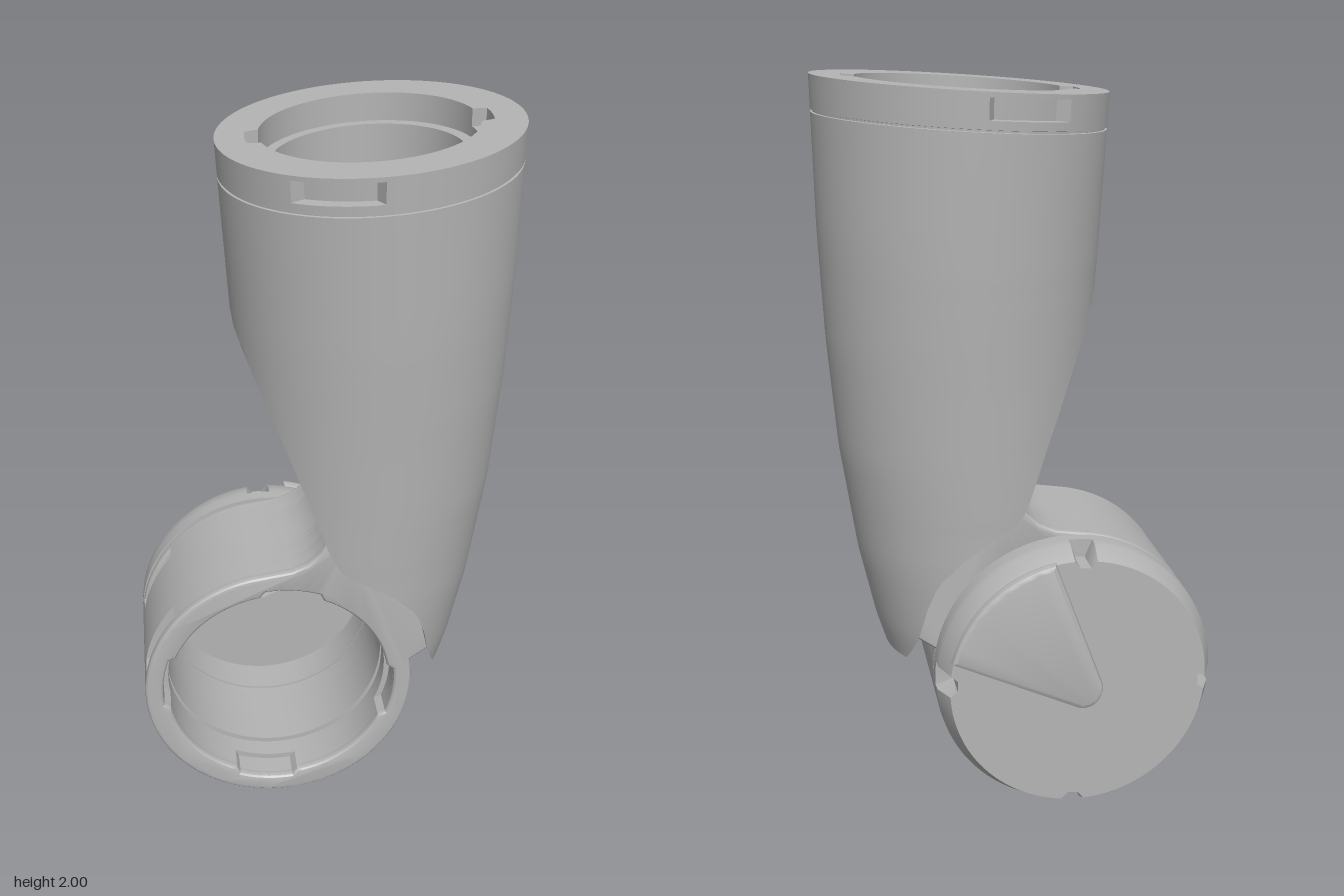
import * as THREE from 'three';
import { toCreasedNormals } from 'three/addons/utils/BufferGeometryUtils.js';

const rad = THREE.MathUtils.degToRad;
const grey = new THREE.MeshStandardMaterial({ color: 0xb4b4b4 });
grey.name = 'plain grey';

const CX = -0.14, CY = 0.39; // axis of the elbow joint

function part(name, geometry) {
  const mesh = new THREE.Mesh(toCreasedNormals(geometry, 0.5), grey);
  mesh.name = name;
  return mesh;
}

// Linear lookup in a short [y, value] table
function lookup(table, y) {
  if (y <= table[0][0]) return table[0][1];
  for (let i = 1; i < table.length; i++) {
    const [y0, v0] = table[i - 1], [y1, v1] = table[i];
    if (y <= y1) return v0 + (v1 - v0) * (y - y0) / (y1 - y0);
  }
  return table[table.length - 1][1];
}

// Closed rings joined in order; point(row, u) with u from -1 to 1
function loft(rows, n, point) {
  const pos = [], idx = [];
  for (const row of rows) for (let j = 0; j <= n; j++) pos.push(...point(row, -1 + 2 * j / n));
  for (let i = 0; i < rows.length - 1; i++) {
    for (let j = 0; j < n; j++) {
      const a = i * (n + 1) + j, b = a + n + 1;
      idx.push(a, b, a + 1, b, b + 1, a + 1);
    }
  }
  const g = new THREE.BufferGeometry();
  g.setAttribute('position', new THREE.Float32BufferAttribute(pos, 3));
  g.setIndex(idx);
  return g;
}

// Arm profile: right edge, left edge, half depth, and the scooped cut on the elbow side
const RIGHT = [[0.42, 0.36], [0.5, 0.385], [0.7, 0.43], [1, 0.475], [1.3, 0.5], [1.6, 0.514], [2, 0.521]];
const LEFT = [[0.42, -0.16], [0.88, -0.2], [1.48, -0.237], [2, -0.266]];
const DEPTH = [[0.42, 0.3], [0.75, 0.323], [1.2, 0.35], [1.5, 0.37], [1.9, 0.39], [2, 0.395]];
const CUT = [[0.42, 0.315], [0.5, 0.287], [0.6, 0.265], [0.68, 0.237], [0.76, 0.165], [0.8, 0.1],
  [0.84, 0.03], [0.88, 0], [1.05, -0.06], [1.28, -0.15], [1.48, -0.237], [1.5, -0.5]];

function outer(y, kind = '', inset = 0) {
  const r = lookup(RIGHT, y), l = lookup(LEFT, y);
  return { y, c: (r + l) / 2, rx: (r - l) / 2 - inset, rz: lookup(DEPTH, y) - inset, cut: lookup(CUT, y), kind };
}
function inner(y, r, kind = '') {
  return { y, c: 0.125, rx: r, rz: r, cut: lookup(CUT, y) + 0.09, kind };
}

function armPoint({ y, c, rx, rz, cut, kind }, u) {
  // the flat cut gets its own share of the ring so its edge stays crisp
  const limit = rx > 0 ? Math.acos(THREE.MathUtils.clamp((cut - c) / rx, -1, 1)) : Math.PI;
  let a = THREE.MathUtils.clamp(u / 0.8, -1, 1) * limit, k = 1;
  const side = Math.abs(a);
  if (kind === 'slot' && side > rad(95) && side < rad(126)) k = 0.92;
  if (kind === 'bayonet' && (side < 0.15 || side > Math.PI - 0.15)) k = 1.12;
  if (kind === 'rect') k = 1 / Math.max(Math.abs(Math.cos(a)), Math.abs(Math.sin(a)));
  const x = c + k * rx * Math.cos(a);
  let z = k * rz * Math.sin(a);
  if (Math.abs(u) > 0.8) z *= (1 - Math.abs(u)) / 0.2;
  return [x, y + 0.064 * (x - 0.127) * THREE.MathUtils.smoothstep(y, 1.45, 1.85), z];
}

function makeArm() {
  const rows = [{ y: 0.415, c: 0.337, rx: 0, rz: 0, cut: -1 }, outer(0.42)];
  for (let y = 0.45; y < 1.86; y += 0.03) rows.push(outer(y));
  // seam groove, then the side slots, then the rim
  rows.push(outer(1.878), outer(1.879, '', 0.006), outer(1.884, '', 0.006), outer(1.885));
  rows.push(outer(1.907), outer(1.908, 'slot'), outer(1.962, 'slot'), outer(1.963), outer(1.975));
  // bore with ledge, sloping inner wall and floor pocket
  rows.push(inner(1.975, 0.28, 'bayonet'), inner(1.93, 0.28, 'bayonet'), inner(1.929, 0.28), inner(1.9, 0.28));
  rows.push(inner(1.9, 0.25));
  for (const y of [1.7, 1.5, 1.43, 1.36, 1.28, 1.15, 1.05]) rows.push(inner(y, 0.25));
  const pocket = { c: 0.167, rx: 0.103, rz: 0.16, cut: -1, kind: 'rect' };
  rows.push({ ...pocket, y: 1.05 }, { ...pocket, y: 0.91 }, { ...pocket, y: 0.91, rx: 0, rz: 0 });
  return part('upperArm', loft(rows, 160, armPoint));
}

// Elbow outline: round housing, optional grip notches, and a neck into the arm
function elbowShape(notched, holeR, bayonet) {
  const pts = [];
  for (let d = 97; d <= 370; d += 3) {
    const inNotch = notched && ((d > 141 && d < 167) || (d > 286 && d < 312));
    const r = inNotch ? 0.34 : 0.385;
    pts.push(new THREE.Vector2(CX + r * Math.cos(rad(d)), CY + r * Math.sin(rad(d))));
  }
  for (const [x, y] of [[0.3, 0.5], [0.32, 0.62], [0.25, 0.8], [0.06, 0.89], [0, 0.875],
    [-0.02, 0.838], [-0.055, 0.805], [-0.1, 0.785]]) pts.push(new THREE.Vector2(x, y));
  const shape = new THREE.Shape(pts);
  const hole = [];
  for (let d = 0; d < 360; d += 3) {
    const wide = bayonet && (d + 8 + 15) % 90 < 30;
    const r = wide ? 0.334 : holeR;
    hole.push(new THREE.Vector2(CX + r * Math.cos(rad(d)), CY + r * Math.sin(rad(d))));
  }
  shape.holes.push(new THREE.Path(hole));
  return shape;
}

function makeElbow() {
  const group = new THREE.Group();
  group.name = 'elbowHousing';
  // slices along z: [from, to, notched, hole radius, bayonet]
  const slices = [[-0.19, -0.13, true, 0.318, false], [-0.13, 0.05, false, 0.318, false],
    [0.05, 0.07, false, 0.332, false], [0.07, 0.125, false, 0.318, false], [0.125, 0.185, true, 0.318, true]];
  for (const [z0, z1, notched, r, bayonet] of slices) {
    const g = new THREE.ExtrudeGeometry(elbowShape(notched, r, bayonet), { depth: z1 - z0, bevelEnabled: false });
    g.translate(0, 0, z0);
    group.add(part('housingSlice', g));
  }
  // rounded end rims
  for (const s of [-1, 1]) {
    const b = 0.012;
    const g = new THREE.ExtrudeGeometry(elbowShape(false, 0.318, s > 0), {
      depth: 0.012, bevelThickness: b, bevelSize: b, bevelOffset: -b, bevelSegments: 3 });
    g.translate(0, 0, s > 0 ? 0.186 : -0.198);
    group.add(part('housingRim', g));
  }
  return group;
}

// Teardrop pad: wide at the disc edge, rounded near the axis
function padPoints(edge, tip, from, to) {
  const pts = [];
  for (let i = 0; i <= 16; i++) {
    const a = rad(from + (to - from) * i / 16);
    pts.push(new THREE.Vector2(CX + edge * Math.cos(a), CY + edge * Math.sin(a)));
  }
  for (let i = 0; i <= 10; i++) {
    const a = rad(165 + 123 * i / 10);
    pts.push(new THREE.Vector2(-0.15 + tip * Math.cos(a), 0.375 + tip * Math.sin(a)));
  }
  return pts;
}

function makeCap() {
  const group = new THREE.Group();
  group.name = 'elbowCap';
  // chamfered ring with small edge notches
  const rows = [[0.318, -0.315], [0.318, -0.205], [0.372, -0.205], [0.372, -0.218], [0.385, -0.218],
    [0.385, -0.255], [0.385, -0.256, 1], [0.383, -0.285, 1], [0.355, -0.345, 1], [0.33, -0.345]];
  const ring = loft(rows, 144, ([r, z, notch], u) => {
    const a = u * Math.PI, d = a * 180 / Math.PI;
    const cutIn = notch && [93, 3, -87, -177].some((m) => Math.abs(d - m) < 3.5);
    const k = cutIn ? 0.335 : r;
    return [CX + k * Math.cos(a), CY + k * Math.sin(a), z];
  });
  group.add(part('capRing', ring));

  // end plate with the pad recess open on the inside
  const plate = new THREE.Shape().absarc(CX, CY, 0.331, 0, Math.PI * 2);
  plate.holes.push(new THREE.Path(padPoints(0.314, 0.03, 17, 76)));
  const plateGeo = new THREE.ExtrudeGeometry(plate, { depth: 0.03, bevelEnabled: false, curveSegments: 72 });
  plateGeo.translate(0, 0, -0.345);
  group.add(part('capPlate', plateGeo));

  const padGeo = new THREE.ExtrudeGeometry(new THREE.Shape(padPoints(0.365, 0.055, 14, 79)), {
    depth: 0.001, bevelThickness: 0.018, bevelSize: 0.014, bevelOffset: -0.014, bevelSegments: 2 });
  padGeo.translate(0, 0, -0.354);
  group.add(part('capPad', padGeo));
  return group;
}

// Four screw tabs on the floor inside the arm
function makeTabs() {
  const group = new THREE.Group();
  group.name = 'screwTabs';
  for (const x of [0.05, 0.215]) for (const s of [-1, 1]) {
    const shape = new THREE.Shape();
    shape.moveTo(-0.03, -0.05).lineTo(-0.03, 0).absarc(0, 0, 0.03, Math.PI, 0, true);
    shape.lineTo(0.03, -0.05).closePath();
    shape.holes.push(new THREE.Path().absarc(0, 0, 0.011, 0, Math.PI * 2));
    const g = new THREE.ExtrudeGeometry(shape, { depth: 0.05, bevelEnabled: false });
    g.rotateX(-Math.PI / 2);
    if (s < 0) g.rotateY(Math.PI);
    g.translate(x, 1.05, s * 0.2);
    group.add(part('screwTab', g));
  }
  return group;
}

export function createModel() {
  const model = new THREE.Group();
  model.name = 'forearmShell';
  model.add(makeArm(), makeElbow(), makeCap(), makeTabs());
  return model;
}
